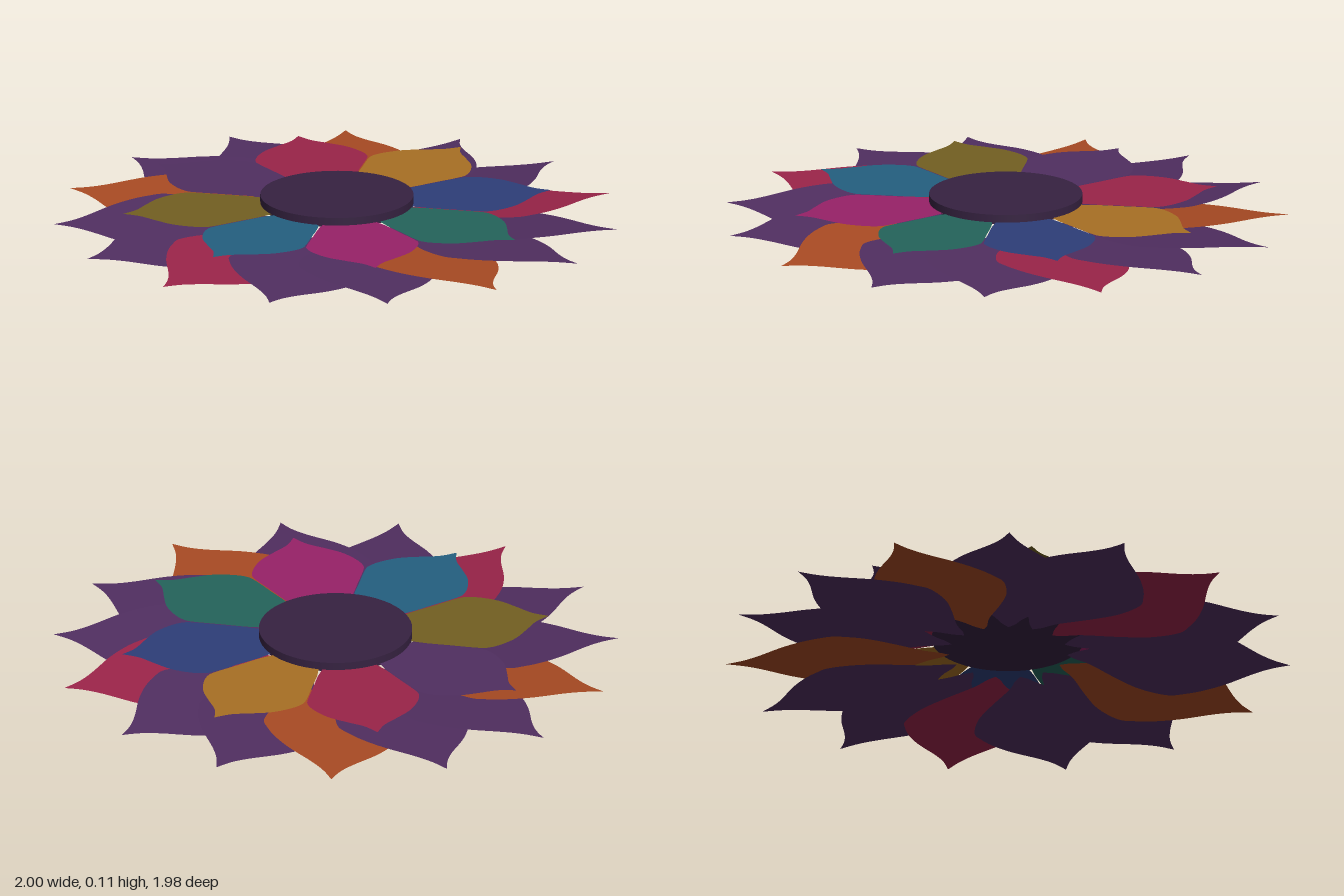
import * as THREE from 'three';

const COLOURS = {
  plum: 0x502e60, darkPlum: 0x362241, crimson: 0x9a2449, gold: 0xa87024, blue: 0x2d3e78,
  green: 0x24645b, magenta: 0x982168, teal: 0x245f80, olive: 0x735f22, orange: 0xa84a23,
};

// Half outlines as [half width, distance from the centre], from base to tip
const OUTER = [[0.025, 0.24], [0.06, 0.3], [0.145, 0.4], [0.21, 0.49], [0.245, 0.59], [0.232, 0.65],
  [0.203, 0.715], [0.152, 0.79], [0.072, 0.88], [0.029, 0.94], [0, 1.003]];
const INNER = [[0.06, 0.2], [0.115, 0.285], [0.155, 0.38], [0.192, 0.47], [0.2, 0.51], [0.185, 0.56],
  [0.147, 0.62], [0.09, 0.67], [0.035, 0.715], [0, 0.768]];
const CENTRE_Z = -0.011;

// Flat petal pointing to -z, turned about its own length by tilt
function petalGeometry(half, base, tilt) {
  const right = half.map(([x, y]) => new THREE.Vector2(x, y));
  const left = half.slice(0, -1).reverse().map(([x, y]) => new THREE.Vector2(-x, y));
  const shape = new THREE.Shape();
  shape.moveTo(0, base);
  shape.splineThru(right);
  shape.splineThru([...left, new THREE.Vector2(0, base)]);
  return new THREE.ShapeGeometry(shape, 5).rotateX(-Math.PI / 2).rotateZ(tilt);
}

export function createModel() {
  const model = new THREE.Group();
  model.name = 'flower';
  const mats = {};
  for (const [name, color] of Object.entries(COLOURS)) {
    mats[name] = new THREE.MeshStandardMaterial({ color, side: THREE.DoubleSide });
    mats[name].name = name;
  }

  // A ring of petals, one per colour, starting at the front and turning towards +x
  function ring(name, geometry, y, colours) {
    const group = new THREE.Group();
    group.name = name + 'Ring';
    group.position.set(0, y, CENTRE_Z);
    colours.forEach((colour, i) => {
      const petal = new THREE.Mesh(geometry, mats[colour]);
      petal.name = name;
      petal.rotation.y = Math.PI + (i / colours.length) * Math.PI * 2;
      group.add(petal);
    });
    model.add(group);
  }

  // Outer petals overlap like fan blades
  const outer = Array(15).fill('plum');
  for (const i of [1, 7, 10]) outer[i] = 'orange';
  for (const i of [4, 13]) outer[i] = 'crimson';
  ring('outerPetal', petalGeometry(OUTER, 0.21, 0.1), 0.0255, outer);

  // Inner petals lie flat, edge to edge
  ring('innerPetal', petalGeometry(INNER, 0.18, 0), 0.084,
    ['magenta', 'green', 'blue', 'gold', 'crimson', 'plum', 'olive', 'teal']);

  // Round centre
  const disc = new THREE.Mesh(new THREE.CylinderGeometry(0.271, 0.271, 0.034, 64), mats.darkPlum);
  disc.name = 'centreDisc';
  disc.position.set(0, 0.095, CENTRE_Z);
  model.add(disc);

  return model;
}
